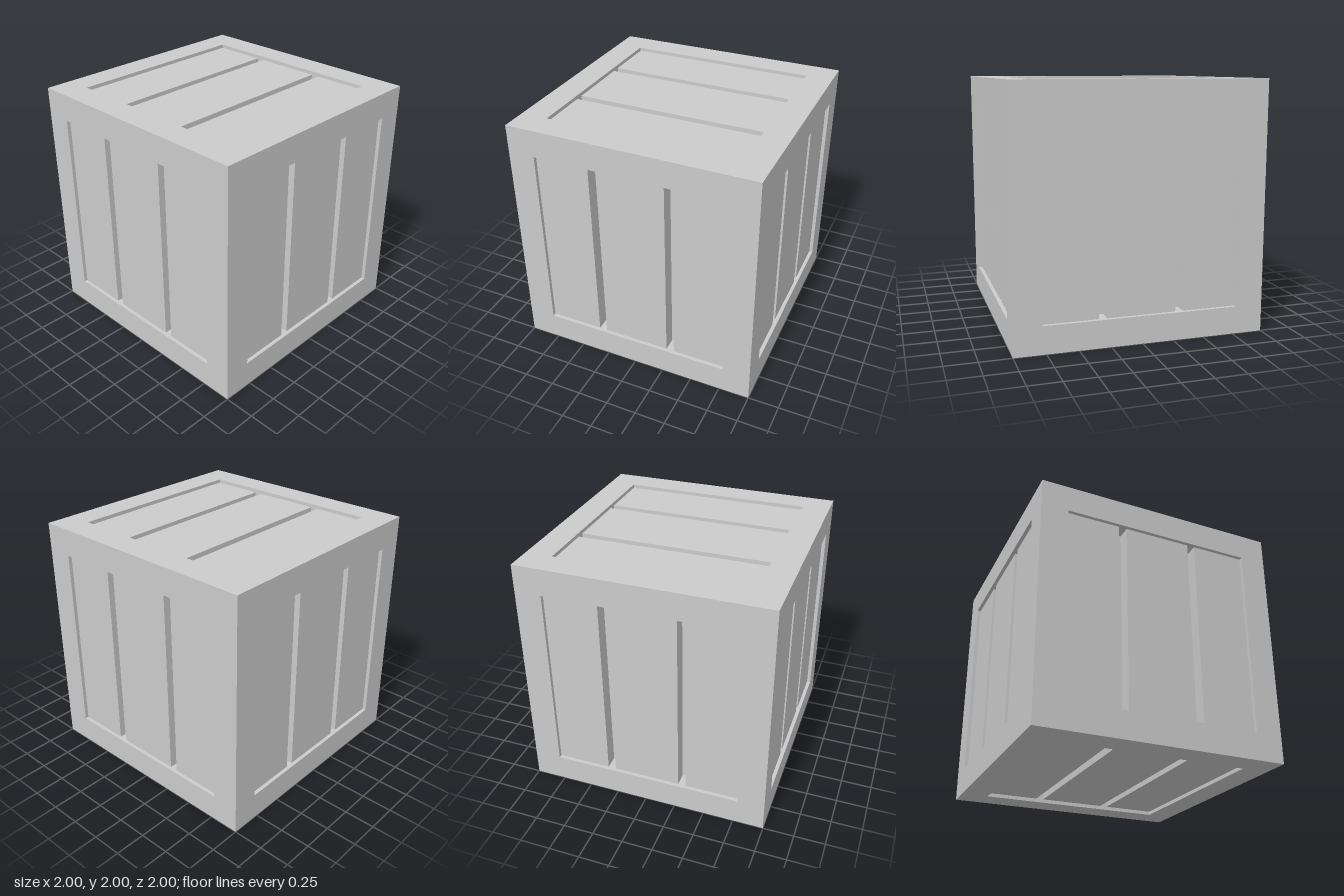
import * as THREE from 'three';

const OPENING = 0.78; // half width of the opening in each face
const RECESS = 0.03;  // planks sit this far behind the frame
const DEPTH = 0.14;   // frame thickness, down to the inner core
const PLANKS = [[-OPENING, -0.34], [-0.275, 0.275], [0.34, OPENING]];

function square(half, Type) {
  const p = new Type();
  p.moveTo(-half, -half);
  p.lineTo(half, -half);
  p.lineTo(half, half);
  p.lineTo(-half, half);
  p.closePath();
  return p;
}

// Square frame whose outer sides are mitred so six of them close into a cube
function frameGeometry() {
  const shape = square(1, THREE.Shape);
  shape.holes.push(square(OPENING, THREE.Path));
  const geo = new THREE.ExtrudeGeometry(shape, { depth: DEPTH, bevelEnabled: false });
  geo.translate(0, 0, 1 - DEPTH);
  const pos = geo.attributes.position;
  for (let i = 0; i < pos.count; i++) {
    const x = pos.getX(i), y = pos.getY(i), z = pos.getZ(i);
    if (z < 0.99 && Math.abs(x) > 0.99) pos.setXY(i, Math.sign(x) * z, Math.sign(y) * z);
  }
  geo.computeVertexNormals();
  return geo;
}

export function createModel() {
  const model = new THREE.Group();
  model.name = 'crate';
  const crate = new THREE.Group();
  crate.name = 'crateBody';
  crate.position.y = 1;
  model.add(crate);

  const material = new THREE.MeshStandardMaterial({ color: 0xcccccc, flatShading: true });
  const add = (parent, geo, name) => {
    const mesh = new THREE.Mesh(geo, material);
    mesh.name = name;
    parent.add(mesh);
    return mesh;
  };

  // Inner core: floor of the gaps between planks
  const coreSize = 2 * (1 - DEPTH);
  add(crate, new THREE.BoxGeometry(coreSize, coreSize, coreSize), 'core');

  // Each face: a mitred frame and three recessed planks
  const frame = frameGeometry();
  const thickness = DEPTH - RECESS;
  const planks = PLANKS.map(([a, b]) =>
    new THREE.BoxGeometry(b - a, 2 * OPENING, thickness)
      .translate((a + b) / 2, 0, 1 - RECESS - thickness / 2));

  const q = Math.PI / 2;
  const faces = {
    front: [0, 0], right: [0, q], back: [0, 2 * q], left: [0, -q], top: [-q, 0], bottom: [q, 0],
  };
  for (const [name, [rx, ry]] of Object.entries(faces)) {
    const face = new THREE.Group();
    face.name = name + 'Face';
    face.rotation.set(rx, ry, 0);
    add(face, frame, name + 'Frame');
    planks.forEach((geo, i) => add(face, geo, `${name}Plank${i + 1}`));
    crate.add(face);
  }
  return model;
}
